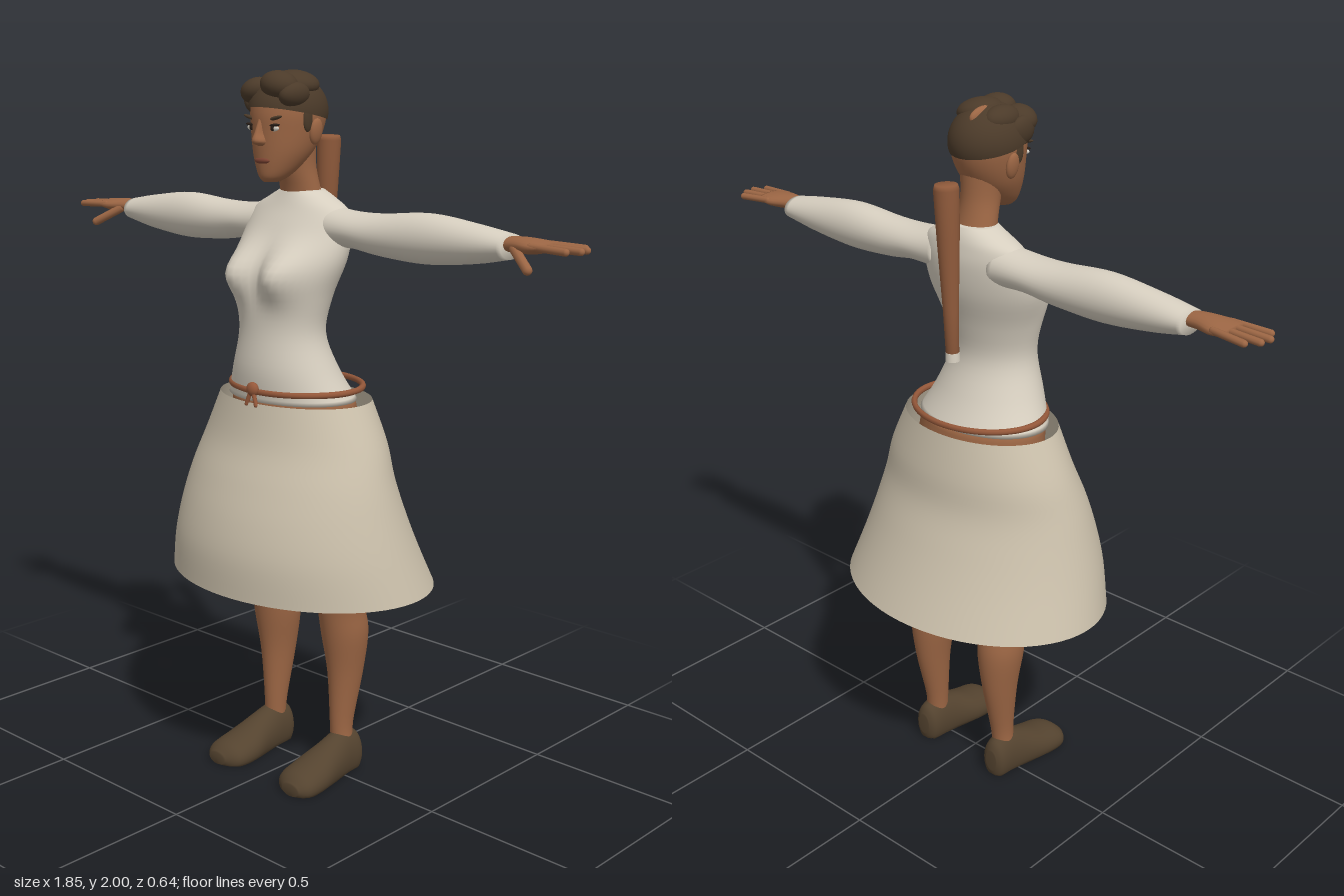
import * as THREE from 'three';

const material = (name, color, side = THREE.FrontSide) => {
  const m = new THREE.MeshStandardMaterial({ color, side });
  m.name = name;
  return m;
};
const skin = material('skin', 0x9c6644);
const cloth = material('shirtCloth', 0xd6cebf);
const skirtCloth = material('skirtCloth', 0xcbc0ab, THREE.DoubleSide);
const hairBrown = material('hair', 0x4b3a29);
const leather = material('shoeLeather', 0x54432f);
const wood = material('wood', 0x8f5a3b);
const beltBrown = material('belt', 0x95583a);
const white = material('eyeWhite', 0xd8d2c6);
const dark = material('darkDetail', 0x2a1f18);
const lipRed = material('lips', 0x7d4433);

// Axis frames: each loft runs along the last index, with u x v pointing along it
const AXES = { y: [2, 0, 1], x: [1, 2, 0], z: [0, 1, 2] };

function smooth(a, b, c, d, t) {
  return b + 0.5 * t * (c - a + t * (2 * a - 5 * b + 4 * c - d + t * (3 * (b - c) + d - a)));
}

// Smooth skin over elliptical rings [position, uMin, uMax, vMin, vMax]
function loft(axis, rings, { sides = 32, steps = 5, caps = true, rule } = {}) {
  const [ui, vi, ti] = AXES[axis], pos = [], index = [], all = [];
  const ring = (i) => rings[Math.max(0, Math.min(rings.length - 1, i))];
  for (let i = 0; i < rings.length - 1; i++) {
    for (let s = 0; s < steps; s++) {
      all.push(ring(i).map((v, k) => smooth(ring(i - 1)[k], v, ring(i + 1)[k], ring(i + 2)[k], s / steps)));
    }
  }
  all.push(rings[rings.length - 1]);
  const put = (t, u, v) => {
    const p = [0, 0, 0];
    p[ui] = u; p[vi] = v; p[ti] = t;
    if (rule) rule(p);
    pos.push(...p);
  };
  all.forEach(([t, u0, u1, v0, v1], r) => {
    for (let j = 0; j < sides; j++) {
      const a = (j / sides) * Math.PI * 2;
      put(t, (u0 + u1) / 2 + Math.cos(a) * (u1 - u0) / 2, (v0 + v1) / 2 + Math.sin(a) * (v1 - v0) / 2);
      if (r === 0) continue;
      const k = (j + 1) % sides, A = (r - 1) * sides, B = r * sides;
      index.push(A + j, A + k, B + k, A + j, B + k, B + j);
    }
  });
  if (caps) {
    [all[0], all[all.length - 1]].forEach(([t, u0, u1, v0, v1], end) => {
      const centre = pos.length / 3, base = end ? (all.length - 1) * sides : 0;
      put(t, (u0 + u1) / 2, (v0 + v1) / 2);
      for (let j = 0; j < sides; j++) {
        const k = (j + 1) % sides;
        index.push(centre, base + (end ? j : k), base + (end ? k : j));
      }
    });
  }
  const g = new THREE.BufferGeometry();
  g.setAttribute('position', new THREE.Float32BufferAttribute(pos, 3));
  g.setIndex(index);
  g.computeVertexNormals();
  return g;
}

function ball(x, y, z, rx, ry, rz, tilt = 0) {
  return new THREE.SphereGeometry(1, 20, 14).scale(rx, ry, rz).rotateZ(tilt).translate(x, y, z);
}

// Rounded rod between two points
function rod(from, to, r) {
  const a = new THREE.Vector3(...from), b = new THREE.Vector3(...to), d = b.clone().sub(a);
  const g = new THREE.CapsuleGeometry(r, d.length(), 5, 10);
  g.applyQuaternion(new THREE.Quaternion().setFromUnitVectors(new THREE.Vector3(0, 1, 0), d.normalize()));
  return g.translate(...a.add(b).multiplyScalar(0.5).toArray());
}

function mirrored(geometry) {
  const g = geometry.clone().scale(-1, 1, 1), ix = g.index.array;
  for (let i = 0; i < ix.length; i += 3) [ix[i], ix[i + 1]] = [ix[i + 1], ix[i]];
  g.computeVertexNormals();
  return g;
}

export function createModel() {
  const model = new THREE.Group();
  model.name = 'figure';
  const add = (name, geometry, mat) => {
    const mesh = new THREE.Mesh(geometry, mat);
    mesh.name = name;
    model.add(mesh);
  };
  const pair = (name, geometry, mat) => {
    add(name + 'Left', geometry, mat);
    add(name + 'Right', mirrored(geometry), mat);
  };

  // Shirt body with a rounded bust
  add('shirt', loft('y', [
    [1.115, -0.11, 0.18, -0.205, 0.205], [1.2, -0.065, 0.188, -0.163, 0.163],
    [1.3, -0.03, 0.18, -0.132, 0.132], [1.4, -0.045, 0.175, -0.148, 0.148],
    [1.5, -0.075, 0.15, -0.178, 0.178], [1.58, -0.085, 0.105, -0.178, 0.178],
    [1.63, -0.08, 0.075, -0.16, 0.16], [1.66, -0.072, 0.06, -0.11, 0.11],
    [1.682, -0.06, 0.05, -0.065, 0.065],
  ], {
    sides: 56, rule: (p) => {
      if (p[2] < 0.03) return;
      const dx = (Math.abs(p[0]) - 0.08) / 0.06, dy = (p[1] - 1.465) / 0.065;
      p[2] += 0.062 * Math.exp(-dx * dx - dy * dy) * Math.min(1, (p[2] - 0.03) / 0.06);
    },
  }), cloth);

  // Sleeves
  pair('sleeve', loft('x', [
    [0.1, 1.53, 1.645, -0.07, 0.06], [0.2, 1.535, 1.634, -0.07, 0.064], [0.3, 1.522, 1.635, -0.067, 0.06],
    [0.45, 1.515, 1.646, -0.065, 0.057], [0.6, 1.53, 1.63, -0.06, 0.05], [0.705, 1.55, 1.613, -0.055, 0.04],
  ]), cloth);

  // Hands
  pair('palm', loft('x', [
    [0.68, 1.57, 1.605, -0.03, 0.025], [0.73, 1.57, 1.61, -0.036, 0.034],
    [0.78, 1.57, 1.608, -0.052, 0.047], [0.825, 1.58, 1.602, -0.054, 0.046],
  ], { sides: 20 }), skin);
  [[-0.044, -0.056, 0.885], [-0.018, -0.025, 0.91], [0.01, 0.008, 0.915], [0.036, 0.042, 0.895]].forEach(
    ([z0, z1, tip], i) => pair('finger' + (i + 1), rod([0.79, 1.592, z0], [tip, 1.588, z1], 0.0095), skin));
  pair('thumb', rod([0.735, 1.582, 0.025], [0.805, 1.54, 0.066], 0.0125), skin);

  // Pelvis and legs
  add('pelvis', loft('y', [
    [0.9, -0.07, 0.09, -0.1, 0.1], [0.98, -0.125, 0.15, -0.195, 0.195], [1.12, -0.105, 0.172, -0.198, 0.198],
  ]), skin);
  pair('leg', loft('y', [
    [0.08, -0.06, 0.005, 0.105, 0.17], [0.15, -0.067, 0.007, 0.102, 0.166], [0.3, -0.1, 0.014, 0.088, 0.183],
    [0.42, -0.112, 0.032, 0.07, 0.2], [0.5, -0.1, 0.045, 0.068, 0.198], [0.59, -0.083, 0.062, 0.064, 0.202],
    [0.8, -0.095, 0.1, 0.03, 0.207], [1.0, -0.11, 0.13, 0.005, 0.2],
  ]), skin);

  // Shoes, flat underneath
  pair('shoe', loft('z', [
    [-0.087, 0.12, 0.16, 0.02, 0.085], [-0.07, 0.1, 0.178, -0.02, 0.115], [-0.02, 0.093, 0.184, -0.03, 0.128],
    [0.04, 0.086, 0.194, -0.03, 0.108], [0.11, 0.073, 0.207, -0.03, 0.08],
    [0.175, 0.08, 0.206, -0.025, 0.06], [0.205, 0.12, 0.18, 0.0, 0.035],
  ], { rule: (p) => { p[1] = Math.max(0, p[1]); } }), leather);

  // Flared open skirt
  add('skirt', loft('y', [
    [0.59, -0.317, 0.317, -0.42, 0.42], [0.7, -0.265, 0.317, -0.39, 0.39], [0.8, -0.222, 0.297, -0.362, 0.362],
    [0.9, -0.185, 0.262, -0.333, 0.333], [1.0, -0.172, 0.222, -0.298, 0.298], [1.115, -0.15, 0.197, -0.243, 0.243],
  ], { sides: 64, caps: false }), skirtCloth);

  // Belt with a knot and two loose ends
  add('belt', new THREE.TorusGeometry(1, 0.045, 8, 64).rotateX(Math.PI / 2)
    .scale(0.2, 0.2, 0.165).translate(0, 1.145, 0.018), beltBrown);
  add('beltKnot', ball(0, 1.152, 0.192, 0.02, 0.02, 0.014), beltBrown);
  for (const s of [-1, 1]) add('beltEnd', rod([s * 0.006, 1.145, 0.195], [s * 0.018, 1.11, 0.197], 0.006), beltBrown);

  // Neck and head
  add('neck', loft('y', [
    [1.64, -0.06, 0.045, -0.068, 0.068], [1.69, -0.045, 0.055, -0.06, 0.06],
    [1.75, -0.035, 0.075, -0.054, 0.054], [1.82, -0.035, 0.09, -0.058, 0.058],
  ]), skin);
  add('head', loft('y', [
    [1.708, 0.09, 0.138, -0.02, 0.02], [1.722, 0.06, 0.149, -0.038, 0.038], [1.75, 0.02, 0.154, -0.058, 0.058],
    [1.79, -0.02, 0.157, -0.077, 0.077], [1.84, -0.05, 0.159, -0.089, 0.089], [1.89, -0.061, 0.16, -0.094, 0.094],
    [1.94, -0.045, 0.148, -0.085, 0.085], [1.97, -0.015, 0.115, -0.056, 0.056], [1.982, 0.035, 0.065, -0.015, 0.015],
  ]), skin);
  pair('ear', ball(0.092, 1.84, 0.04, 0.012, 0.035, 0.022, -0.15), skin);

  // Face
  add('nose', loft('y', [
    [1.803, 0.12, 0.16, -0.012, 0.012], [1.815, 0.12, 0.183, -0.02, 0.02],
    [1.84, 0.12, 0.175, -0.012, 0.012], [1.875, 0.12, 0.16, -0.01, 0.01],
  ], { sides: 16 }), skin);
  pair('eye', ball(0.04, 1.85, 0.146, 0.018, 0.008, 0.006), white);
  pair('iris', ball(0.039, 1.85, 0.15, 0.007, 0.0075, 0.004), dark);
  pair('upperLid', ball(0.041, 1.858, 0.147, 0.021, 0.004, 0.007, 0.08), dark);
  pair('eyebrow', ball(0.044, 1.876, 0.147, 0.027, 0.005, 0.007, 0.22), hairBrown);
  add('lips', ball(0, 1.765, 0.15, 0.027, 0.009, 0.009), lipRed);

  // Short hair: sloped cap, swept front locks, sideburns and a bare parting
  const cap = new THREE.SphereGeometry(1, 36, 18, 0, Math.PI * 2, 0, Math.PI * 0.53);
  cap.rotateX(-0.22).scale(0.1, 0.098, 0.116).translate(0, 1.892, 0.05);
  const capMat = hairBrown;
  add('hairCap', cap, capMat);
  [[-0.052, 1.945, 0.115, 0.046, 0.034, 0.045, 0.35], [0.03, 1.96, 0.115, 0.055, 0.038, 0.048, -0.15],
    [0.07, 1.935, 0.1, 0.03, 0.035, 0.05, -0.5], [-0.078, 1.92, 0.09, 0.022, 0.04, 0.045, 0.1],
    [0.03, 1.965, 0.05, 0.06, 0.033, 0.065, -0.2], [-0.045, 1.955, 0.05, 0.038, 0.033, 0.06, 0.3],
  ].forEach((lock) => add('hairLock', ball(...lock), hairBrown));
  pair('sideburn', ball(0.088, 1.875, 0.068, 0.009, 0.036, 0.017), hairBrown);
  add('parting', ball(-0.012, 1.962, 0.02, 0.016, 0.026, 0.055), skin);

  // Bat carried upright behind the back
  const bat = new THREE.Group();
  bat.name = 'bat';
  const profile = [[0, -0.215], [0.018, -0.215], [0.021, -0.1], [0.03, 0.1], [0.034, 0.225], [0.03, 0.238], [0, 0.238]];
  const barrel = new THREE.Mesh(new THREE.LatheGeometry(profile.map((p) => new THREE.Vector2(...p)), 24), wood);
  barrel.name = 'batBarrel';
  const grip = new THREE.Mesh(new THREE.CylinderGeometry(0.019, 0.02, 0.024, 20).translate(0, -0.226, 0), cloth);
  grip.name = 'batEnd';
  bat.add(barrel, grip);
  bat.position.set(-0.042, 1.582, -0.147);
  bat.rotation.z = -0.04;
  model.add(bat);
  return model;
}
